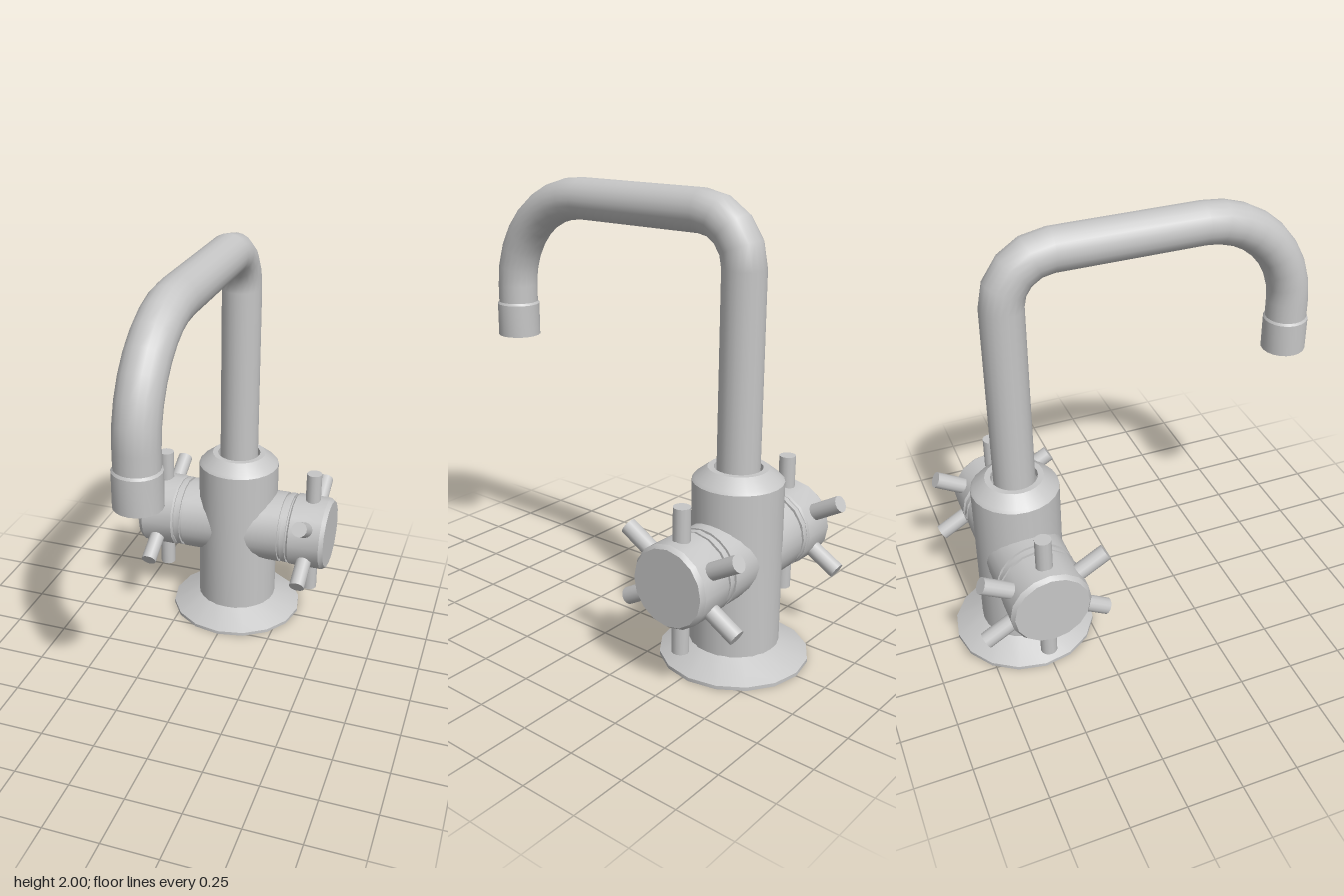
import * as THREE from 'three';
import { toCreasedNormals } from 'three/addons/utils/BufferGeometryUtils.js';

const AXIS_Z = -0.535; // vertical axis of the body
const metal = new THREE.MeshStandardMaterial({ color: 0xc6c6c6, side: THREE.DoubleSide });
metal.name = 'brushed metal';

function mesh(name, geometry, parent) {
  const m = new THREE.Mesh(geometry, metal);
  m.name = name;
  parent.add(m);
  return m;
}

// Turned profile, smooth around and sharp at its edges
function turned(profile, sides = 16, reshape) {
  const g = new THREE.LatheGeometry(profile.map(([r, y]) => new THREE.Vector2(r, y)), sides);
  if (reshape) reshape(g.attributes.position);
  return toCreasedNormals(g, 0.55);
}

// Swan neck centre line: straight riser, tight back bend, straight run, wide front bend
class NeckCurve extends THREE.Curve {
  constructor() {
    super();
    this.points = [];
    this.tangents = [];
    const add = (z, y, a) => {
      this.points.push(new THREE.Vector3(0, y, z));
      this.tangents.push(new THREE.Vector3(0, Math.cos(a), Math.sin(a)));
    };
    const r = 0.21, R = 0.43, top = 1.908, frontZ = 0.757;
    add(AXIS_Z, 0.82, 0);
    for (let i = 0; i <= 4; i++) {
      const a = (i / 4) * Math.PI / 2;
      add(AXIS_Z + r - r * Math.cos(a), top - r + r * Math.sin(a), a);
    }
    for (let i = 0; i <= 8; i++) {
      const a = (i / 8) * Math.PI / 2;
      add(frontZ - R + R * Math.sin(a), top - R + R * Math.cos(a), a + Math.PI / 2);
    }
    add(frontZ, 1.39, Math.PI);
  }
  index(u) { return Math.round(u * (this.points.length - 1)); }
  getPointAt(u, target = new THREE.Vector3()) { return target.copy(this.points[this.index(u)]); }
  getTangentAt(u, target = new THREE.Vector3()) { return target.copy(this.tangents[this.index(u)]); }
}

function createHandle(name) {
  const handle = new THREE.Group();
  handle.name = name;

  const axle = new THREE.Group();
  axle.rotation.z = -Math.PI / 2; // local y points outward
  handle.add(axle);

  // Sleeve, its inner rim cut to follow the round body
  mesh('valveSleeve', turned([[0.176, 0], [0.176, 0.246], [0.166, 0.246]], 24, (p) => {
    for (let i = 0; i < p.count; i++) {
      if (p.getY(i) < 0.01) p.setY(i, Math.sqrt(0.19 ** 2 - p.getZ(i) ** 2));
    }
  }), axle);

  // Narrow ring between two grooves
  mesh('valveRing', turned([
    [0.166, 0.24], [0.166, 0.26], [0.177, 0.26], [0.177, 0.286], [0.166, 0.286], [0.166, 0.3],
  ]), axle);

  // Knob with bevelled rims
  mesh('knob', turned([
    [0, 0.294], [0.173, 0.294], [0.181, 0.302], [0.181, 0.457], [0.167, 0.477], [0, 0.477],
  ]), axle);

  // Six spokes around the knob
  for (let i = 0; i < 6; i++) {
    const spoke = new THREE.Group();
    spoke.name = 'spoke';
    spoke.rotation.x = i * Math.PI / 3;
    const bar = mesh('spokeBar', new THREE.CylinderGeometry(0.037, 0.037, 0.16, 14), spoke);
    bar.position.set(0.383, 0.24, 0);
    handle.add(spoke);
  }
  return handle;
}

export function createModel() {
  const tap = new THREE.Group();
  tap.name = 'mixerTap';

  // Hollow body with a chamfered shoulder and a collar hole for the neck
  const body = mesh('body', turned([
    [0.186, 0.07], [0.196, 0.07], [0.196, 0.812], [0.185, 0.825], [0.13, 0.868], [0.104, 0.868],
    [0.104, 0.83], [0.186, 0.8], [0.186, 0.07],
  ], 24), tap);
  body.position.z = AXIS_Z;

  // Thin flared foot, open underneath
  const foot = mesh('footFlange', turned([
    [0.186, 0.075], [0.318, 0.006], [0.318, 0], [0.326, 0], [0.326, 0.016], [0.194, 0.082],
  ]), tap);
  foot.position.z = AXIS_Z;
  foot.rotation.y = Math.PI;

  // Neck
  const curve = new NeckCurve();
  mesh('neck', new THREE.TubeGeometry(curve, curve.points.length - 1, 0.092, 20, false), tap);

  // Hollow outlet at the end of the neck
  const outlet = mesh('outlet', turned([
    [0.074, 1.39], [0.074, 1.238], [0.099, 1.238], [0.099, 1.388], [0.091, 1.4],
  ], 20), tap);
  outlet.position.z = 0.757;

  // Matching handles on both sides
  for (const side of [1, -1]) {
    const handle = createHandle(side > 0 ? 'leftHandle' : 'rightHandle');
    handle.position.set(0, 0.49, AXIS_Z);
    if (side < 0) handle.rotation.y = Math.PI;
    tap.add(handle);
  }
  return tap;
}
